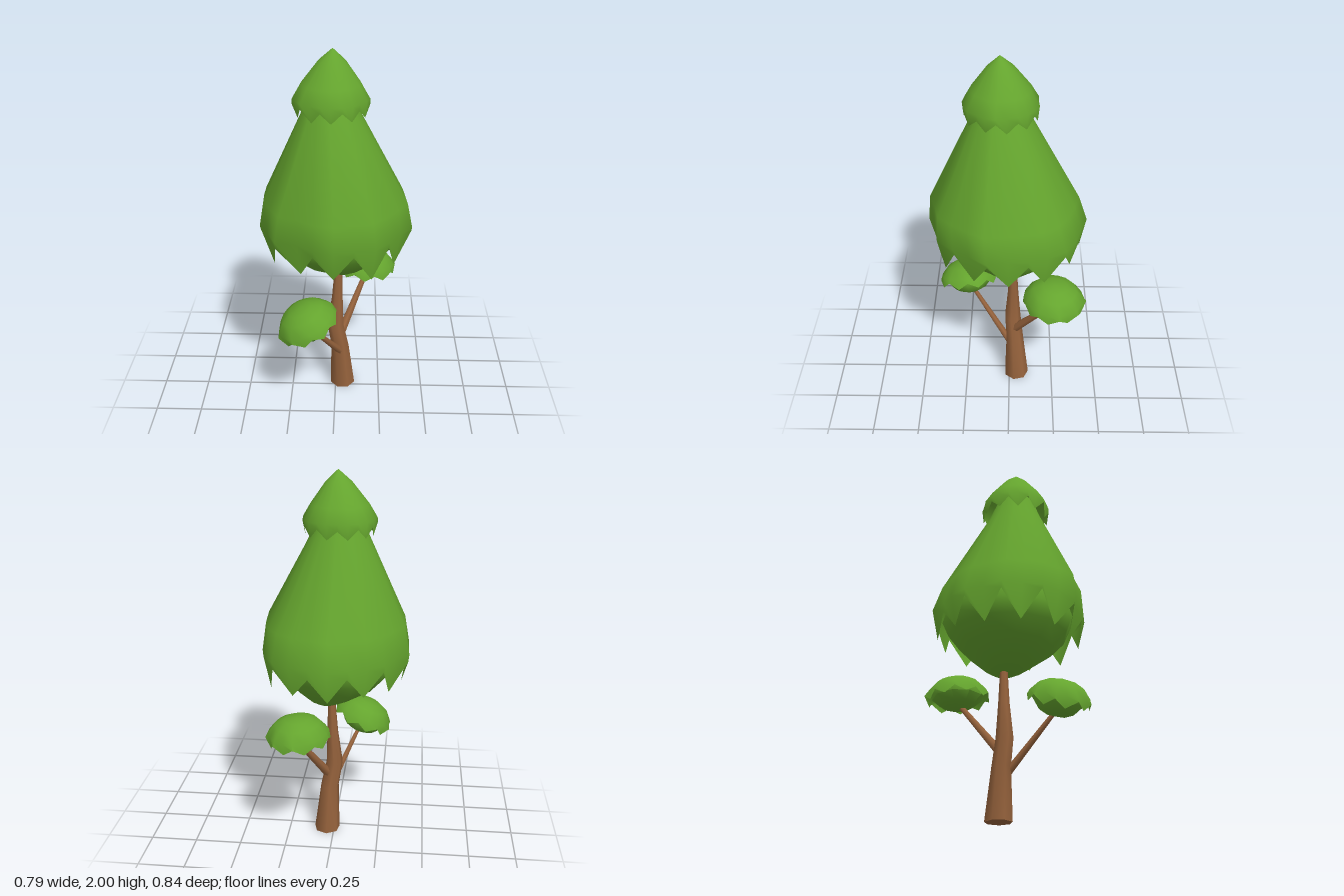
import * as THREE from 'three';
import { mergeVertices, toCreasedNormals } from 'three/addons/utils/BufferGeometryUtils.js';

const leafGreen = new THREE.MeshStandardMaterial({ color: 0x65a52e, side: THREE.DoubleSide });
const barkBrown = new THREE.MeshStandardMaterial({ color: 0x95623c });

// Skin over horizontal rings [y, radius, centreX, centreZ], listed from top to bottom.
// adjust(ring, column) may return { scale, dy } for a single vertex.
function loft(rings, sides, phase = 0, adjust = () => ({})) {
  const positions = [], index = [];
  rings.forEach(([y, r, cx = 0, cz = 0], i) => {
    for (let j = 0; j < sides; j++) {
      const a = phase + (j / sides) * Math.PI * 2;
      const { scale = 1, dy = 0 } = adjust(i, j);
      positions.push(cx + r * scale * Math.cos(a), y + dy, cz + r * scale * Math.sin(a));
      if (i === rings.length - 1) continue;
      const k = (j + 1) % sides;
      const p = i * sides + j, q = i * sides + k;
      index.push(p, q, p + sides, q, q + sides, p + sides);
    }
  });
  const geo = new THREE.BufferGeometry();
  geo.setAttribute('position', new THREE.Float32BufferAttribute(positions, 3));
  geo.setIndex(index);
  return toCreasedNormals(mergeVertices(geo), 1.0);
}

// Repeatable small unevenness in -1..1
const wobble = (j, seed) => Math.sin(j * 2.7 + seed) * 0.6 + Math.sin(j * 1.3 + seed * 2.1) * 0.4;

// Leaf shell whose last ring is cut into pointed teeth (even columns hang down and curl in)
function leafShell(rings, teeth, phase, depth, curl, seed, outline) {
  const last = rings.length - 1;
  return loft(rings, teeth * 2, phase, (i, j) => {
    const scale = 1 + (outline ? outline(j) * Math.min(1, i / 3) : 0.05 * wobble(j, seed) * (i / last));
    if (i < last) return { scale };
    const tip = j % 2 === 0;
    return { scale: scale * (tip ? curl : 1), dy: (tip ? -depth : depth) + depth * 0.25 * wobble(j, seed) };
  });
}

// Uneven crown outline, every 15 degrees from +z towards -x
const CROWN_RADII = [
  0.422, 0.40, 0.37, 0.42, 0.395, 0.405, 0.392, 0.41, 0.375, 0.39, 0.385, 0.375,
  0.412, 0.39, 0.40, 0.41, 0.40, 0.385, 0.38, 0.415, 0.39, 0.395, 0.42, 0.395,
];
const crownOutline = (j) => CROWN_RADII[j] / 0.395 - 1;

function add(parent, name, geometry, material) {
  const mesh = new THREE.Mesh(geometry, material);
  mesh.name = name;
  parent.add(mesh);
  return mesh;
}

// Tapered branch between two points
function addBranch(parent, name, from, to, r0, r1) {
  const a = new THREE.Vector3(...from), b = new THREE.Vector3(...to);
  const dir = b.clone().sub(a);
  const mesh = add(parent, name, new THREE.CylinderGeometry(r1, r0, dir.length(), 6), barkBrown);
  mesh.position.copy(a).add(b).multiplyScalar(0.5);
  mesh.quaternion.setFromUnitVectors(new THREE.Vector3(0, 1, 0), dir.normalize());
}

// Small leaf cushion: toothed dome over a rounded underside
function addClump(parent, name, position, tiltX, tiltZ, bottom, seed) {
  const clump = new THREE.Group();
  clump.name = name;
  add(clump, name + 'Dome', leafShell(
    [[0.09, 0], [0.082, 0.065], [0.058, 0.115], [0.01, 0.157], [-0.03, 0.168]], 9, seed, 0.018, 0.95, seed), leafGreen);
  add(clump, name + 'Underside', loft(
    [[0.03, 0], [0.02, 0.13], [-0.025, 0.135], [bottom + 0.02, 0.09], [bottom, 0.045], [bottom, 0]], 9), leafGreen);
  clump.position.set(...position);
  clump.rotation.set(tiltX, 0, tiltZ);
  parent.add(clump);
}

export function createModel() {
  const tree = new THREE.Group();
  tree.name = 'tree';

  // Trunk with a slight bend
  add(tree, 'trunk', loft([
    [0.85, 0.017, 0.018, -0.02],
    [0.6, 0.03, 0.01, -0.02],
    [0.41, 0.046, 0.0, -0.018],
    [0.27, 0.05, 0.025, -0.03],
    [0, 0.071, 0.04, -0.04],
    [0, 0, 0.04, -0.04],
  ], 7, 0.2), barkBrown);

  // Branches
  addBranch(tree, 'frontBranch', [0.025, 0.24, 0.0], [-0.125, 0.53, 0.22], 0.02, 0.011);
  addBranch(tree, 'backBranch', [0.03, 0.34, -0.03], [0.175, 0.64, -0.235], 0.025, 0.014);

  // Leaf cushions on the branches
  addClump(tree, 'frontLeaves', [-0.148, 0.596, 0.234], 0.12, 0.4, -0.1, 1.0);
  addClump(tree, 'backLeaves', [0.168, 0.69, -0.242], -0.05, -0.06, -0.082, 2.3);

  // Main crown: toothed skirt over a rounded core
  add(tree, 'crownSkirt', leafShell([
    [1.8, 0.1, -0.02, 0.04],
    [1.68, 0.148, -0.02, 0.04],
    [1.23, 0.37, 0, 0.022],
    [1.09, 0.392, 0, 0.003],
    [0.985, 0.388, 0, 0.0],
  ], 12, Math.PI / 2, 0.068, 0.92, 0.7, crownOutline), leafGreen);
  add(tree, 'crownCore', loft([
    [1.3, 0, 0.01, 0],
    [1.2, 0.31, 0.01, 0],
    [1.05, 0.35, 0.005, 0],
    [0.97, 0.315, 0.005, 0],
    [0.89, 0.24, 0.005, 0],
    [0.8, 0.115, 0.03, -0.01],
    [0.772, 0.06, 0.04, -0.015],
    [0.77, 0, 0.04, -0.015],
  ], 11, 0.3), leafGreen);

  // Toothed cap on top
  add(tree, 'crownCap', leafShell([
    [2.0, 0, -0.012, 0.045],
    [1.94, 0.066, -0.015, 0.042],
    [1.83, 0.148, -0.02, 0.04],
    [1.76, 0.188, -0.02, 0.04],
    [1.705, 0.188, -0.02, 0.04],
  ], 11, 0.4, 0.026, 0.95, 1.9), leafGreen);

  return tree;
}
